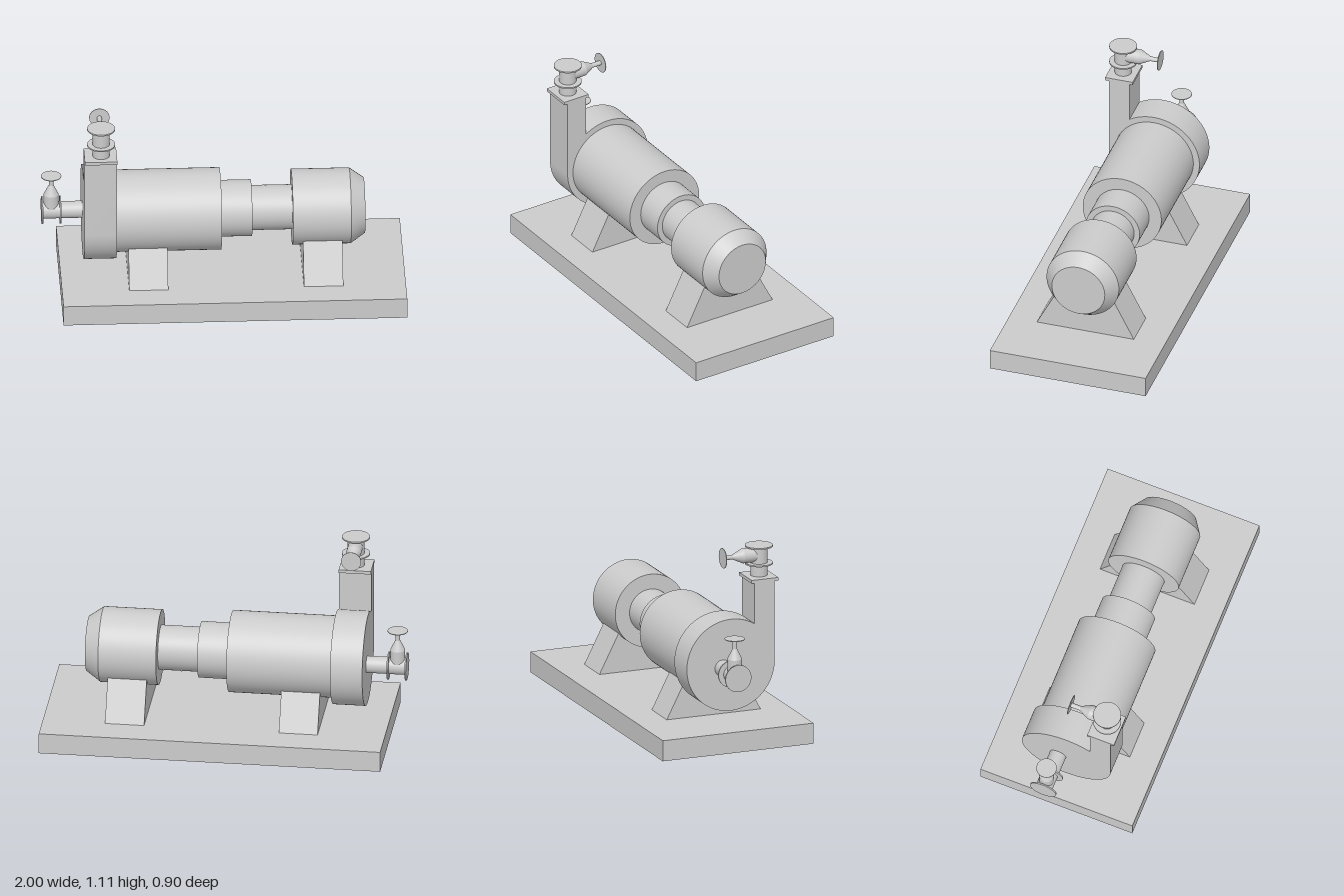
import * as THREE from 'three';
import { toCreasedNormals } from 'three/addons/utils/BufferGeometryUtils.js';

const material = new THREE.MeshStandardMaterial({ color: 0xcccccc });
const AXIS_Y = 0.468, AXIS_Z = 0.008;

function addMesh(parent, name, geometry, x = 0, y = 0, z = 0) {
  const mesh = new THREE.Mesh(geometry, material);
  mesh.name = name;
  mesh.position.set(x, y, z);
  parent.add(mesh);
  return mesh;
}

// Round part along x, from x0 (radius r0) to x1 (radius r1)
function roundX(parent, name, x0, x1, r0, r1 = r0, y = 0, z = 0) {
  const geometry = new THREE.CylinderGeometry(r1, r0, x1 - x0, 64).rotateZ(-Math.PI / 2);
  return addMesh(parent, name, geometry, (x0 + x1) / 2, y, z);
}

// Round part along y, from y0 (radius r0) to y1 (radius r1)
function roundY(parent, name, y0, y1, r0, r1 = r0) {
  return addMesh(parent, name, new THREE.CylinderGeometry(r1, r0, y1 - y0, 40), 0, (y0 + y1) / 2, 0);
}

// Extrudes a (-z, y) outline along x
function extrudeX(parent, name, shape, x0, x1) {
  const extruded = new THREE.ExtrudeGeometry(shape, { depth: x1 - x0, bevelEnabled: false, curveSegments: 64 });
  const geometry = toCreasedNormals(extruded, 0.5).rotateY(Math.PI / 2);
  return addMesh(parent, name, geometry, x0);
}

// Flanged valve: flow along x, handwheel up y, pipe of given length on one side
function makeValve(name, pipeStart, pipeEnd) {
  const valve = new THREE.Group();
  valve.name = name;
  roundX(valve, 'pipe', pipeStart, pipeEnd, 0.047);
  for (const x of [-0.054, 0.046]) roundX(valve, 'flange', x, x + 0.008, 0.077);
  roundY(valve, 'bonnet', 0, 0.1, 0.041);
  roundY(valve, 'bonnetTaper', 0.1, 0.158, 0.041, 0.013);
  roundY(valve, 'stem', 0.158, 0.213, 0.013);
  roundY(valve, 'handwheel', 0.212, 0.216, 0.056);
  return valve;
}

export function createModel() {
  const model = new THREE.Group();
  model.name = 'pumpSet';

  // Base slab
  addMesh(model, 'base', new THREE.BoxGeometry(1.895, 0.118, 0.9), 0.0475, 0.059, 0);

  // Tapered saddles under the body and the motor
  const saddle = new THREE.Shape();
  saddle.moveTo(-0.288, 0.118);
  saddle.lineTo(0.272, 0.118);
  saddle.lineTo(0.1, 0.453);
  saddle.lineTo(-0.116, 0.453);
  saddle.closePath();
  extrudeX(model, 'bodySaddle', saddle, -0.53, -0.315);
  extrudeX(model, 'motorSaddle', saddle, 0.433, 0.65);

  // Pump casing: round chamber with a tangential outlet duct
  const r = 0.262, ductInner = Math.acos(-0.142 / r);
  const casing = new THREE.Shape();
  casing.moveTo(-0.27, 0.92);
  casing.lineTo(-0.27, AXIS_Y);
  casing.absarc(-AXIS_Z, AXIS_Y, r, Math.PI, 2 * Math.PI + ductInner, false);
  casing.lineTo(-0.15, 0.92);
  casing.closePath();
  extrudeX(model, 'casing', casing, -0.775, -0.596);
  addMesh(model, 'outletPlate', new THREE.BoxGeometry(0.179, 0.018, 0.159), -0.6855, 0.929, 0.212);

  // Stepped drive train along the main axis
  const sections = [
    ['body', -0.596, -0.016, 0.227],
    ['bearingHousing', -0.016, 0.155, 0.156],
    ['coupling', 0.155, 0.377, 0.124],
    ['motor', 0.377, 0.698, 0.209],
    ['motorEndCone', 0.698, 0.778, 0.209, 0.153],
  ];
  for (const [name, x0, x1, r0, r1 = r0] of sections) {
    roundX(model, name, x0, x1, r0, r1, AXIS_Y, AXIS_Z);
  }

  // Inlet valve on the casing face
  const inlet = makeValve('inletValve', -0.05, 0.175);
  inlet.position.set(-0.946, 0.455, -0.04);
  model.add(inlet);

  // Outlet valve on the duct, with its handwheel facing the back
  const outlet = makeValve('outletValve', -0.118, 0.05);
  outlet.rotation.set(0, -Math.PI / 2, Math.PI / 2);
  outlet.position.set(-0.682, 1.056, 0.214);
  model.add(outlet);

  return model;
}
